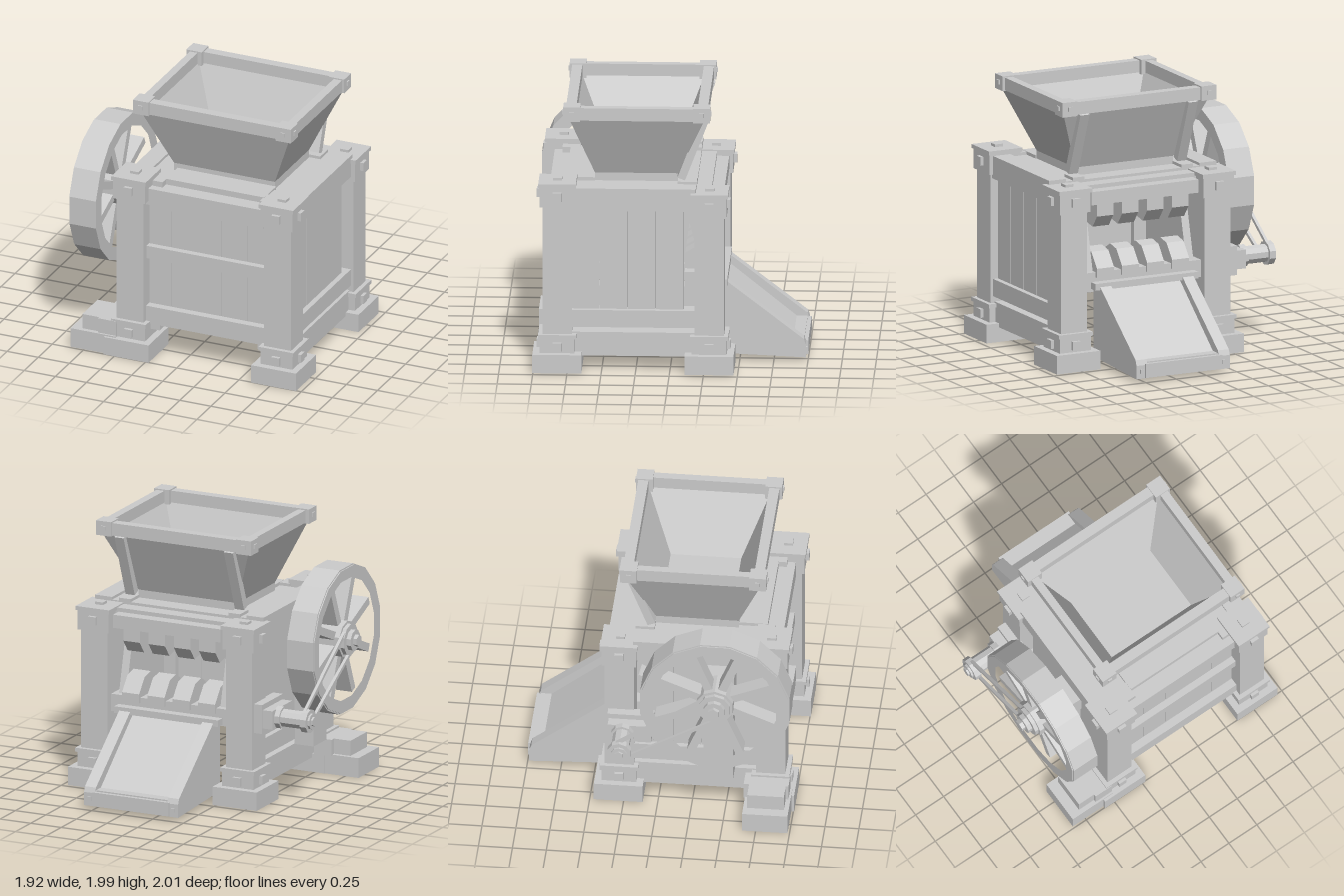
import * as THREE from 'three';

export function createModel() {
  const model = new THREE.Group();
  const stone = new THREE.MeshStandardMaterial({ color: 0xcccccc });
  stone.name = 'plain grey';
  stone.flatShading = true;

  const add = (name, geo) => {
    const mesh = new THREE.Mesh(geo, stone);
    mesh.name = name;
    model.add(mesh);
    return mesh;
  };
  // Box from its limits on each axis
  const box = (name, x0, x1, y0, y1, z0, z1) => {
    const mesh = add(name, new THREE.BoxGeometry(x1 - x0, y1 - y0, z1 - z0));
    mesh.position.set((x0 + x1) / 2, (y0 + y1) / 2, (z0 + z1) / 2);
    return mesh;
  };
  // Side profile of [z, y] points, extruded from x0 to x1
  const prism = (name, pts, x0, x1, hole) => {
    const toVec = ([z, y]) => new THREE.Vector2(-z, y);
    const shape = new THREE.Shape(pts.map(toVec));
    if (hole) shape.holes.push(new THREE.Path(hole.map(toVec)));
    const geo = new THREE.ExtrudeGeometry(shape, { depth: x1 - x0, bevelEnabled: false });
    geo.rotateY(Math.PI / 2).translate(x0, 0, 0);
    return add(name, geo);
  };
  // Beam of thickness t between two [z, y] points
  const beam = (name, x0, x1, a, b, t) => {
    const dz = b[0] - a[0], dy = b[1] - a[1];
    const mesh = add(name, new THREE.BoxGeometry(x1 - x0, Math.hypot(dz, dy), t));
    mesh.position.set((x0 + x1) / 2, (a[1] + b[1]) / 2, (a[0] + b[0]) / 2);
    mesh.rotation.x = Math.atan2(dz, dy);
    return mesh;
  };
  const polygon = (n, r, z, y) => Array.from({ length: n }, (_, i) => {
    const a = (i + 0.5) / n * Math.PI * 2;
    return [z + r * Math.cos(a), y + r * Math.sin(a)];
  });
  // Surface through rectangular rings [x0, x1, z0, z1, y], closed at both ends
  const loft = (name, rings) => {
    const pos = [], idx = [];
    rings.forEach(([x0, x1, z0, z1, y]) =>
      pos.push(x0, y, z1, x1, y, z1, x1, y, z0, x0, y, z0));
    for (let r = 0; r < rings.length - 1; r++) {
      for (let i = 0; i < 4; i++) {
        const a = r * 4 + i, b = r * 4 + (i + 1) % 4;
        idx.push(a, b, b + 4, a, b + 4, a + 4);
      }
    }
    const l = (rings.length - 1) * 4;
    idx.push(0, 2, 1, 0, 3, 2, l, l + 1, l + 2, l, l + 2, l + 3);
    const geo = new THREE.BufferGeometry();
    geo.setAttribute('position', new THREE.Float32BufferAttribute(pos, 3));
    geo.setIndex(idx);
    const flat = geo.toNonIndexed();
    flat.computeVertexNormals();
    return add(name, flat);
  };

  // Corner posts with feet, collars, caps and bolts
  for (const [cx, side] of [[0.78, 1], [-0.405, -1]]) {
    for (const [cz, face, top] of [[0.825, 1, 1.43], [-0.29, -1, 1.36]]) {
      const block = (name, h, y0, y1) => box(name, cx - h, cx + h, y0, y1, cz - h, cz + h);
      block('foot', 0.18, 0, 0.14);
      block('post', 0.108, 0.14, top);
      block('footCollar', 0.128, 0.14, 0.26);
      block('footCollarLip', 0.14, 0.25, 0.28);
      block('cap', 0.127, top - 0.18, top - 0.03);
      block('capLip', 0.138, top - 0.03, top);
      box('capTopBolt', cx - 0.033, cx + 0.033, top, top + 0.02, cz - 0.033, cz + 0.033);
      for (const y of [0.19, top - 0.095]) {
        const fz = cz + face * 0.135, sx = cx + side * 0.135;
        box('bolt', cx - 0.032, cx + 0.032, y - 0.032, y + 0.032, fz - 0.018, fz + 0.018);
        box('bolt', sx - 0.018, sx + 0.018, y - 0.032, y + 0.032, cz - 0.032, cz + 0.032);
      }
    }
  }

  // Side walls: rails and planks
  for (const s of [1, -1]) {
    const X = (d) => 0.187 + s * d;
    const wall = (name, d0, d1, y0, y1, z0, z1) =>
      box(name, Math.min(X(d0), X(d1)), Math.max(X(d0), X(d1)), y0, y1, z0, z1);
    wall('sideTopRail', 0.55, 0.69, 1.22, 1.39, -0.19, 0.73);
    wall('sideLowerRail', 0.55, 0.68, 0.33, 0.46, -0.19, 0.73);
    wall('sideBottomRail', 0.53, 0.67, 0.11, 0.29, -0.19, 0.73);
    for (let i = 0; i < 4; i++) {
      const z = -0.1 + i * 0.206;
      wall('sidePlank', 0.58, 0.64, 0.4, 1.24, z, z + 0.203);
    }
  }

  // Front wall
  box('frontTopRail', -0.31, 0.68, 1.22, 1.35, 0.76, 0.89);
  box('frontTopLip', -0.25, 0.63, 1.18, 1.22, 0.77, 0.85);
  box('frontMiddleRail', -0.31, 0.68, 0.78, 0.88, 0.77, 0.88);
  box('frontBottomRail', -0.31, 0.68, 0.26, 0.4, 0.76, 0.89);
  for (let i = 0; i < 5; i++) {
    const x = -0.322 + i * 0.203;
    box('frontPlank', x, x + 0.2, 0.36, 1.22, 0.77, 0.83);
  }
  for (const x of [-0.27, 0.59]) {
    box('frontBracket', x, x + 0.075, 0.21, 0.27, 0.76, 0.87);
    box('frontTopBracket', x, x + 0.08, 1.34, 1.392, 0.7, 0.83);
  }

  // Deck and hopper
  box('frontDeckBeam', -0.19, 0.6, 1.3, 1.395, 0.56, 0.77);
  box('deck', -0.38, 0.75, 1.3, 1.37, -0.19, 0.76);
  box('hopperSeat', -0.22, 0.59, 1.36, 1.43, -0.05, 0.56);
  loft('hopper', [
    [-0.22, 0.59, -0.05, 0.56, 1.43],
    [-0.41, 0.79, -0.25, 0.74, 1.89],
    [-0.36, 0.735, -0.2, 0.69, 1.89],
    [-0.17, 0.54, -0.02, 0.5, 1.44],
  ]);
  box('hopperRimFront', -0.42, 0.8, 1.885, 1.98, 0.69, 0.765);
  box('hopperRimBack', -0.42, 0.8, 1.885, 1.98, -0.275, -0.2);
  box('hopperRimLeft', 0.735, 0.8, 1.885, 1.98, -0.22, 0.72);
  box('hopperRimRight', -0.42, -0.36, 1.885, 1.98, -0.22, 0.72);
  for (const [cx, s] of [[0.757, 1], [-0.388, -1]]) {
    for (const [cz, f] of [[0.722, 1], [-0.23, -1]]) {
      box('rimCorner', cx - 0.062, cx + 0.062, 1.88, 1.99, cz - 0.062, cz + 0.062);
      const sx = cx + s * 0.062, fz = cz + f * 0.062;
      box('rimBolt', sx - 0.01, sx + 0.01, 1.922, 1.955, cz - 0.017, cz + 0.017);
      box('rimBolt', cx - 0.017, cx + 0.017, 1.922, 1.955, fz - 0.01, fz + 0.01);
    }
  }

  // Hopper struts at the back
  for (const x of [-0.3, 0.595]) {
    beam('hopperStrut', x, x + 0.075, [-0.075, 1.41], [-0.26, 1.89], 0.06);
    box('strutFoot', x - 0.01, x + 0.085, 1.35, 1.392, -0.19, -0.05);
  }

  // Rear beams and crushing teeth
  box('rearTopBeam', -0.31, 0.68, 1.2, 1.35, -0.3, -0.19);
  box('rearTopRail', -0.25, 0.63, 1.22, 1.32, -0.39, -0.29);
  box('lowerJawBeam', -0.3, 0.67, 0.57, 0.7, -0.34, -0.1);
  box('lowerJawLedge', -0.24, 0.61, 0.58, 0.63, -0.41, -0.3);
  for (let i = 0; i < 4; i++) {
    const x = -0.19 + i * 0.207;
    prism('upperTooth', [[-0.18, 1.22], [-0.35, 1.22], [-0.35, 1.12], [-0.28, 1.03], [-0.18, 1.05]], x, x + 0.135);
    prism('lowerTooth', [[-0.1, 0.69], [-0.36, 0.66], [-0.36, 0.73], [-0.27, 0.84], [-0.17, 0.86], [-0.1, 0.82]], x, x + 0.14);
  }
  for (const x of [-0.26, 0.57]) {
    beam('jawStrut', x, x + 0.06, [-0.12, 1.25], [-0.27, 0.66], 0.06);
  }

  // Discharge chute
  const cheek = [[-0.3, 0.61], [-0.4, 0.61], [-0.97, 0.17], [-0.985, 0.13], [-0.985, 0.03], [-0.3, 0.06]];
  for (const x of [-0.2, 0.48]) {
    prism('chuteCheek', cheek, x, x + 0.09);
    box('chuteBolt', x + 0.03, x + 0.06, 0.07, 0.1, -0.995, -0.98);
  }
  beam('chuteFloor', -0.12, 0.49, [-0.33, 0.58], [-0.955, 0.075], 0.035);
  box('chuteLip', -0.13, 0.5, 0.035, 0.14, -1, -0.965);
  box('chuteSill', -0.115, 0.485, 0.06, 0.15, -0.97, -0.89);

  // Flywheel
  const WZ = 0.45, WY = 1.11;
  prism('wheelRim', polygon(16, 0.56, WZ, WY), -0.86, -0.65, polygon(16, 0.46, WZ, WY));
  prism('wheelRimBand', polygon(16, 0.55, WZ, WY), -0.868, -0.86, polygon(16, 0.48, WZ, WY));
  for (let i = 0; i < 8; i++) {
    const a = (i + 0.5) * Math.PI / 4, c = Math.cos(a), s = Math.sin(a);
    beam('wheelSpoke', -0.83, -0.7, [WZ + 0.08 * c, WY + 0.08 * s], [WZ + 0.47 * c, WY + 0.47 * s], 0.06);
  }
  const disc = (name, z, y, r, x0, x1, n = 10) => prism(name, polygon(n, r, z, y), x0, x1);
  disc('wheelHub', WZ, WY, 0.14, -0.87, -0.66);
  disc('hubPulley', WZ, WY, 0.12, -0.9, -0.87);
  disc('hubCollar', WZ, WY, 0.08, -0.935, -0.9);
  disc('hubNut', WZ, WY, 0.045, -0.965, -0.935, 6);
  disc('axle', WZ, WY, 0.06, -0.7, -0.5);

  // Axle support and its stepped footing
  box('axleBlock', -0.648, -0.49, 1.01, 1.22, 0.335, 0.57);
  box('axlePost', -0.645, -0.49, 0.29, 1.01, 0.345, 0.56);
  box('supportBeam', -0.645, -0.5, 0.14, 0.265, 0.64, 0.97);
  box('outerFoot', -0.86, -0.5, 0, 0.15, 0.65, 0.985);
  box('outerStep', -0.78, -0.5, 0.15, 0.265, 0.68, 0.95);

  // Drive shaft on the rear post
  const PZ = -0.25, PY = 0.67;
  box('bearingPlate', -0.58, -0.5, 0.56, 0.78, -0.37, -0.03);
  box('bearingBlock', -0.66, -0.57, 0.6, 0.74, -0.36, -0.04);
  disc('shaftCollar', PZ, PY, 0.085, -0.7, -0.65);
  disc('driveShaft', PZ, PY, 0.068, -0.87, -0.69);
  disc('drivePulley', PZ, PY, 0.09, -0.92, -0.87);
  disc('pulleyCollar', PZ, PY, 0.06, -0.935, -0.92);
  disc('pulleyNut', PZ, PY, 0.035, -0.95, -0.935, 6);

  // Drive belt, two runs from pulley to hub
  const len = Math.hypot(WZ - PZ, WY - PY), nz = -(WY - PY) / len, ny = (WZ - PZ) / len;
  for (const s of [1, -1]) {
    beam('driveBelt', -0.893, -0.87, [PZ + s * nz * 0.07, PY + s * ny * 0.07],
      [WZ + s * nz * 0.1, WY + s * ny * 0.1], 0.025);
  }

  return model;
}
